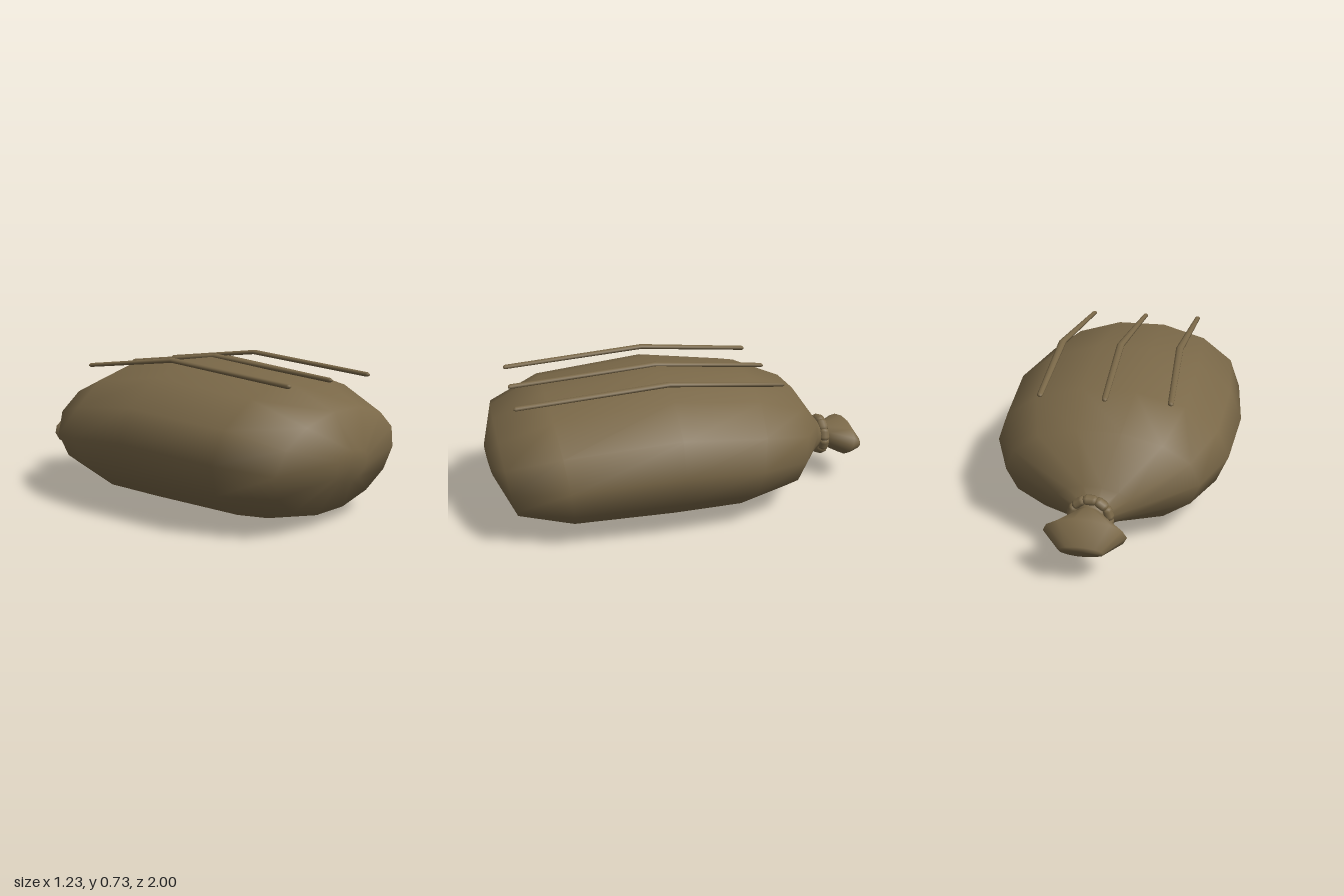
import * as THREE from 'three';

// Skin a list of rings (arrays of Vector3) into one smooth closed surface.
function loft(rings, material, name) {
  const n = rings[0].length, pos = [], idx = [];
  rings.forEach(r => r.forEach(p => pos.push(p.x, p.y, p.z)));
  for (let i = 0; i < rings.length - 1; i++) {
    for (let j = 0; j < n; j++) {
      const a = i * n + j, b = i * n + (j + 1) % n;
      idx.push(a, b, a + n, b, b + n, a + n);
    }
  }
  // End caps fan out from the ring centres
  [0, rings.length - 1].forEach(k => {
    const c = new THREE.Vector3();
    rings[k].forEach(p => c.addScaledVector(p, 1 / n));
    const ci = pos.length / 3;
    pos.push(c.x, c.y, c.z);
    for (let j = 0; j < n; j++) {
      const a = k * n + j, b = k * n + (j + 1) % n;
      if (k === 0) idx.push(ci, b, a); else idx.push(ci, a, b);
    }
  });
  const g = new THREE.BufferGeometry();
  g.setAttribute('position', new THREE.Float32BufferAttribute(pos, 3));
  g.setIndex(idx);
  g.computeVertexNormals();
  const mesh = new THREE.Mesh(g, material);
  mesh.name = name;
  return mesh;
}

// Elliptical ring whose plane leans from its bottom point to its top point.
function leaningRing([zTop, yTop, zBottom, yBottom, rx], n = 14) {
  const zc = (zTop + zBottom) / 2, yc = (yTop + yBottom) / 2;
  const k = 1 / Math.cos(Math.PI / n); // the top and bottom are flat edges
  return Array.from({ length: n }, (_, j) => {
    const a = -j / n * Math.PI * 2, s = Math.sin(a) * k / 2;
    return new THREE.Vector3(Math.cos(a) * rx, yc + s * (yTop - yBottom), zc + s * (zTop - zBottom));
  });
}

export function createModel() {
  const group = new THREE.Group();
  group.name = 'tiedSack';
  const cloth = new THREE.MeshStandardMaterial({ color: 0x7a6848 });
  cloth.name = 'brown cloth';

  // Sack body, neck and gathered end: [zTop, yTop, zBottom, yBottom, halfWidth]
  const profile = [
    [1.00, 0.36, 0.965, 0.21, 0.12],
    [0.95, 0.54, 0.87, 0.06, 0.465],
    [0.70, 0.66, 0.61, 0.00, 0.578],
    [0.13, 0.718, 0.13, 0.00, 0.615],
    [-0.32, 0.66, -0.21, 0.00, 0.578],
    [-0.57, 0.56, -0.47, 0.045, 0.465],
    [-0.725, 0.36, -0.64, 0.13, 0.19],
    [-0.785, 0.29, -0.775, 0.18, 0.065],
    [-0.82, 0.305, -0.81, 0.17, 0.075],
    [-0.93, 0.312, -0.88, 0.138, 0.187],
    [-1.00, 0.215, -0.97, 0.15, 0.10],
  ];
  group.add(loft(profile.map(p => leaningRing(p)), cloth, 'sack'));

  // Rope tie: a ring of short rounded strands
  const tie = new THREE.Group();
  tie.name = 'ropeTie';
  const strands = 10;
  const strand = new THREE.CapsuleGeometry(0.022, 0.028, 3, 8);
  for (let i = 0; i < strands; i++) {
    const a = (i + 0.5) / strands * Math.PI * 2;
    const m = new THREE.Mesh(strand, cloth);
    m.name = 'ropeStrand';
    m.position.set(Math.cos(a) * 0.086, Math.sin(a) * 0.086, 0);
    m.rotation.z = a;
    m.scale.set(1, 1, 1.3);
    tie.add(m);
  }
  tie.position.set(0, 0.238, -0.78);
  group.add(tie);

  // Three raised folds bending over the top
  const foldRing = (x, y, z, w, h) => Array.from({ length: 8 }, (_, j) => {
    const a = -(j + 0.5) / 8 * Math.PI * 2;
    return new THREE.Vector3(x + Math.cos(a) * w, y + Math.sin(a) * h, z);
  });
  [-0.308, 0, 0.308].forEach(x => {
    group.add(loft([
      foldRing(x, 0.66, 0.862, 0.008, 0.006),
      foldRing(x, 0.661, 0.852, 0.014, 0.011),
      foldRing(x + 0.026, 0.722, 0.14, 0.02, 0.012),
      foldRing(x, 0.661, -0.432, 0.014, 0.011),
      foldRing(x, 0.66, -0.442, 0.008, 0.006),
    ], cloth, 'fold'));
  });
  return group;
}
